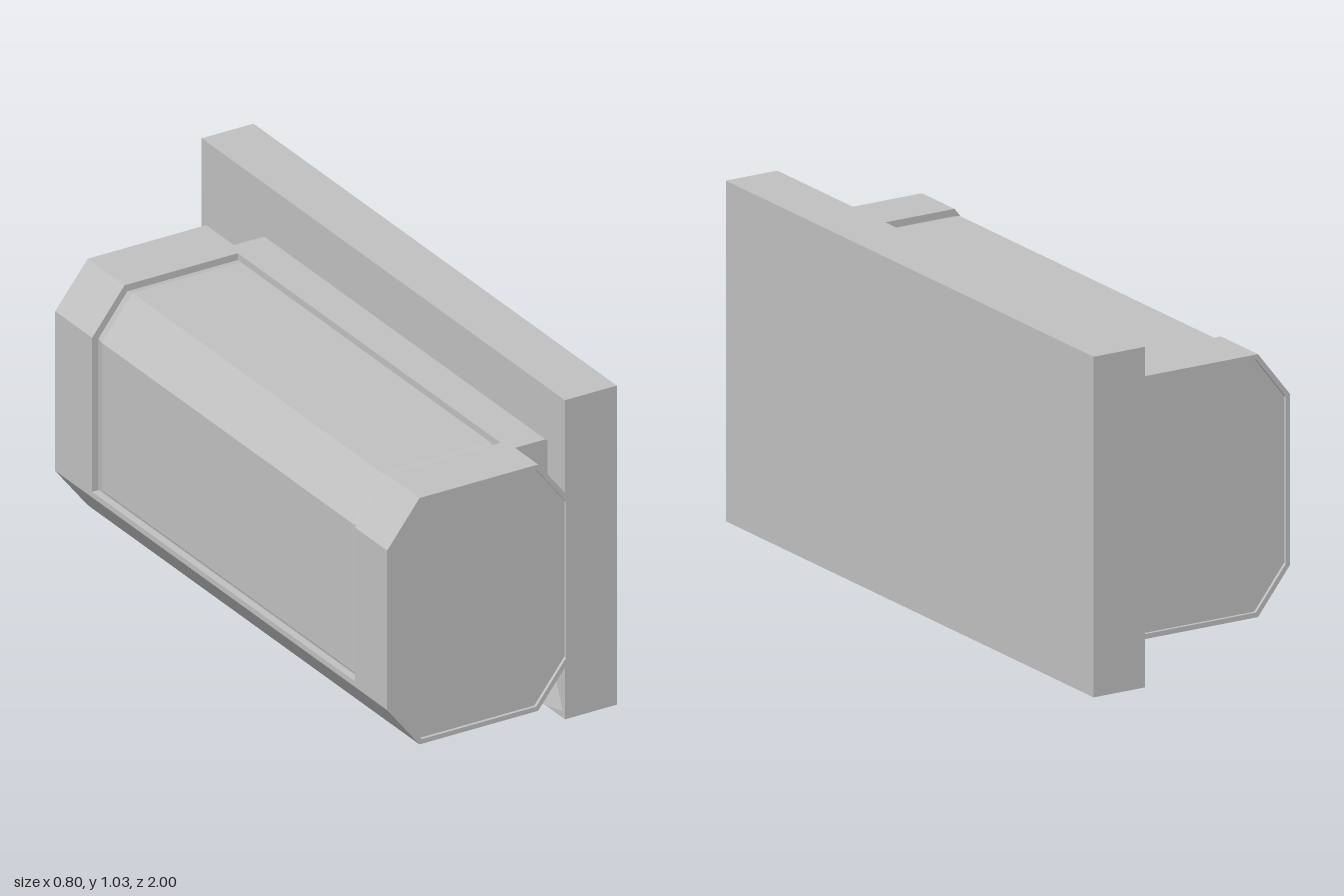
import * as THREE from 'three';

const grey = new THREE.MeshStandardMaterial({ color: 0xc0c0c0 });
grey.name = 'grey';

const CX = -0.0885, CY = 0.4675;

// Eight-sided outline of the housing, inset by d, counter-clockwise from lower right
function octagon(d = 0) {
  const w = 0.3115 - d, h = 0.3975 - d, fx = 0.2015 - 0.45 * d, fy = 0.2575 - 0.35 * d;
  return [[w, -fy], [w, fy], [fx, h], [-fx, h], [-w, fy], [-w, -fy], [-fx, -h], [fx, -h]]
    .map(([x, y]) => [CX + x, CY + y]);
}

const toVectors = (pts) => pts.map(([x, y]) => new THREE.Vector2(x, y));

// Prism along z, optionally with a hole
function prism(pts, z0, z1, hole) {
  const shape = new THREE.Shape(toVectors(pts));
  if (hole) shape.holes.push(new THREE.Path(toVectors(hole)));
  const g = new THREE.ExtrudeGeometry(shape, { depth: z1 - z0, bevelEnabled: false });
  return g.translate(0, 0, z0);
}

// Open skin through matching cross-sections, ordered by rising z
function skin(sections) {
  const pos = [];
  for (let s = 0; s < sections.length - 1; s++) {
    const [a, b] = [sections[s], sections[s + 1]];
    for (let i = 0; i < a.pts.length - 1; i++) {
      const p = [...a.pts[i], a.z], q = [...a.pts[i + 1], a.z];
      const r = [...b.pts[i + 1], b.z], t = [...b.pts[i], b.z];
      pos.push(...p, ...q, ...r, ...p, ...r, ...t);
    }
  }
  const g = new THREE.BufferGeometry();
  g.setAttribute('position', new THREE.Float32BufferAttribute(pos, 3));
  g.computeVertexNormals();
  return g;
}

export function createModel() {
  const group = new THREE.Group();
  const add = (name, geometry) => {
    const mesh = new THREE.Mesh(geometry, grey);
    mesh.name = name;
    group.add(mesh);
  };

  // Upright mounting plate
  add('mountingPlate', new THREE.BoxGeometry(0.176, 1.03, 1.97).translate(0.311, 0.515, -0.015));

  // Housing ends, each with a raised rim around a shallow recess
  const outer = octagon(), inner = octagon(0.015);
  add('frontEnd', prism(outer, 0.825, 0.99));
  add('frontRim', prism(outer, 0.99, 1, inner));
  add('backEnd', prism(outer, -0.79, -0.6));
  add('backRim', prism(outer, -0.8, -0.79, inner));

  // Middle of the housing, cut back over the top and left for the panel
  const o = octagon(), f = octagon(0.022);
  add('housing', prism([
    o[0], o[1], o[2], [0.095, 0.865], [0.095, f[2][1]],
    f[3], f[4], [f[5][0], 0.228], [-0.4, 0.228], o[5], o[6], o[7],
  ], -0.6, 0.825));

  // Cover panel with bevelled edges, wrapped over the top, shoulder and side
  const panelSection = (d) => {
    const p = octagon(d), low = octagon(0.022);
    return [[0.09, low[2][1]], [0.08, p[2][1]], p[3], p[4], [p[5][0], 0.245], [low[5][0], 0.233]];
  };
  const low = panelSection(0.02), high = panelSection(0.011);
  add('coverPanel', skin([
    { z: -0.595, pts: low }, { z: -0.565, pts: high },
    { z: 0.79, pts: high }, { z: 0.82, pts: low },
  ]));

  // Upper filler squaring off the shoulder beside the plate
  add('upperBracket', prism(
    [[0.113, 0.865], [0.221, 0.727], [0.223, 0.727], [0.223, 0.857], [0.216, 0.865]], -0.65, 0.875));

  // Lower bracket, flared lengthwise where it meets the plate
  const lower = prism([[0.113, 0.07], [0.223, 0.022], [0.223, 0.205]], -0.65, 0.875);
  const pos = lower.attributes.position;
  for (let i = 0; i < pos.count; i++) {
    if (pos.getY(i) < 0.05) pos.setZ(i, pos.getZ(i) < 0 ? -0.9 : 0.96);
  }
  lower.computeVertexNormals();
  add('lowerBracket', lower);

  return group;
}
